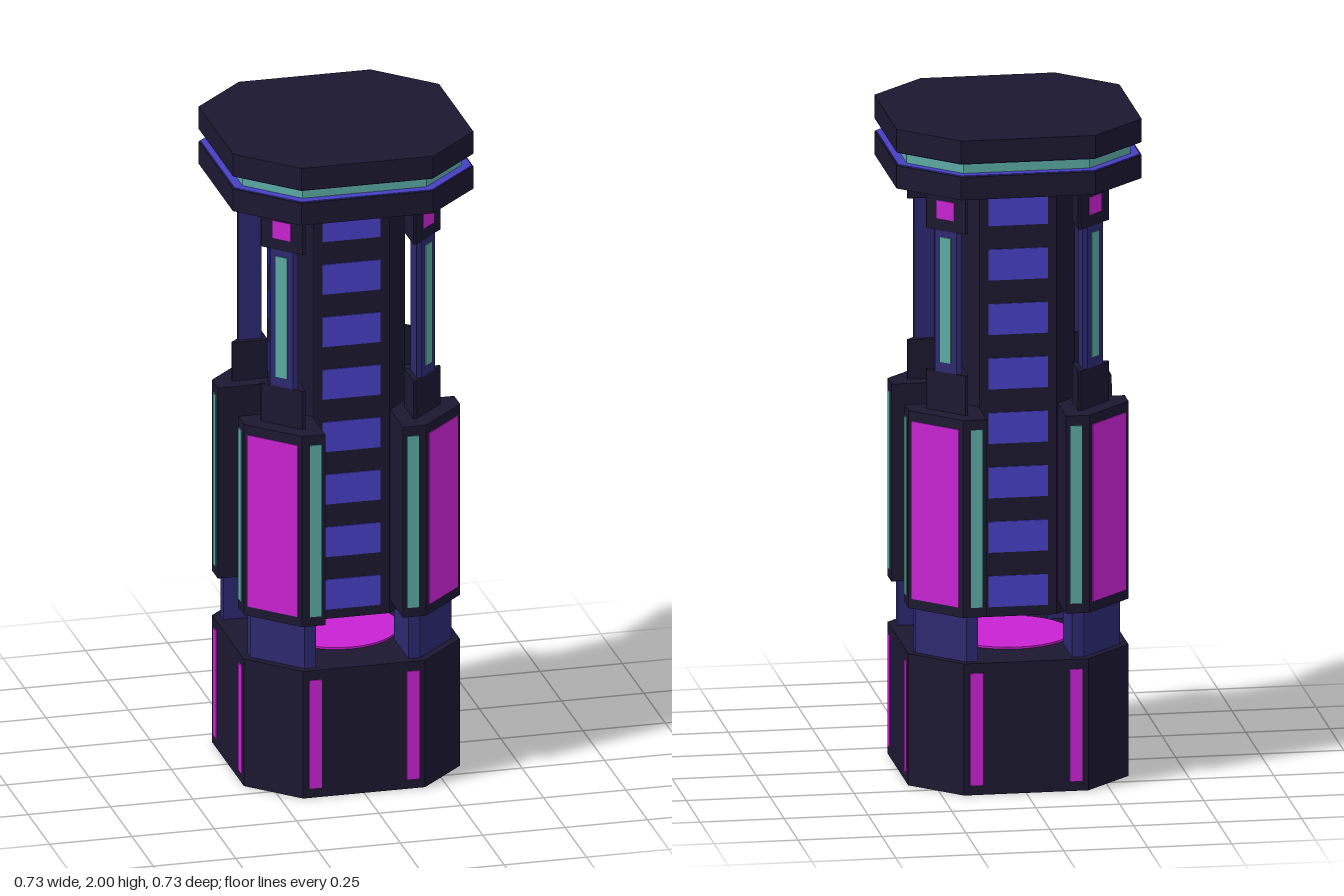
import * as THREE from 'three';

const mat = (color) => new THREE.MeshStandardMaterial({ color, flatShading: true });
const dark = mat(0x1b1730), indigo = mat(0x2c2870), blue = mat(0x463fc4);
const teal = mat(0x5aaaa2), magenta = mat(0xc822d2);

function add(parent, name, geometry, material) {
  const mesh = new THREE.Mesh(geometry, material);
  mesh.name = name;
  parent.add(mesh);
  return mesh;
}

// Upright prism from a plan outline, between heights y0 and y1
function prism(points, y0, y1) {
  const shape = new THREE.Shape(points.map(([x, z]) => new THREE.Vector2(x, z)));
  const geometry = new THREE.ExtrudeGeometry(shape, { depth: y1 - y0, bevelEnabled: false });
  return geometry.rotateX(-Math.PI / 2).translate(0, y0, 0);
}

// Square plan of half width h with cut corners; f is half of each flat side
const octagon = (h, f) => [[h, -f], [h, f], [f, h], [-f, h], [-h, f], [-h, -f], [-f, -h], [f, -h]];

// Square plan in one quadrant with its outer corner cut by c
const corner = (min, max, c) => [[min, min], [max, min], [max, max - c], [max - c, max], [min, max]];

// Thin panel on a face at distance d from the axis, shifted sideways by s
function panel(parent, name, material, d, s, width, y0, y1, angle) {
  const geometry = new THREE.BoxGeometry(width, y1 - y0, 0.012);
  geometry.translate(s, (y0 + y1) / 2, d - 0.003).rotateY(angle);
  return add(parent, name, geometry, material);
}

// Distance from the axis to the cut face of a corner prism
const cutFace = (max, c) => (2 * max - c) / Math.SQRT2;

export function createModel() {
  const model = new THREE.Group();
  model.name = 'column';

  // Base, with a glowing disc under the floating core
  add(model, 'base', prism(octagon(0.328, 0.185), 0, 0.4), dark);
  const disc = new THREE.CylinderGeometry(0.185, 0.185, 0.008, 32).translate(0, 0.402, 0);
  add(model, 'baseDisc', disc, magenta);

  // Central core
  add(model, 'core', prism(octagon(0.18, 0.115), 0.5, 1.83), dark);

  // Head: two slabs with a lit band between them
  add(model, 'lowerSlab', prism(octagon(0.365, 0.2), 1.82, 1.89), dark);
  add(model, 'upperSlab', prism(octagon(0.365, 0.2), 1.93, 2), dark);
  add(model, 'headBand', prism(octagon(0.333, 0.188), 1.88, 1.94), teal);
  add(model, 'lowerTrim', prism(octagon(0.36, 0.198), 1.885, 1.893), blue);
  add(model, 'upperTrim', prism(octagon(0.36, 0.198), 1.927, 1.935), blue);

  for (let i = 0; i < 4; i++) {
    const side = new THREE.Group();
    side.name = 'side';
    side.rotation.y = i * Math.PI / 2;
    model.add(side);

    // Ladder of lit panels on the core
    for (let k = 0; k < 8; k++) {
      const y = 0.53 + k * 0.1655;
      panel(side, 'corePanel', blue, 0.18, 0, 0.176, y, y + 0.094, 0);
    }
    // Strips on the base and the pylon flanks
    for (const s of [-1, 1]) {
      panel(side, 'baseStrip', magenta, 0.328, s * 0.148, 0.038, 0.03, 0.37, 0);
      panel(side, 'pylonStrip', teal, 0.328, s * 0.148, 0.034, 0.57, 1.11, 0);
    }

    // Corner pylon, stacked from foot to bracket
    const pylon = new THREE.Group();
    pylon.name = 'cornerPylon';
    side.add(pylon);
    add(pylon, 'pylonFoot', prism(corner(0.14, 0.305, 0.13), 0.4, 0.55), indigo);
    add(pylon, 'pylonBody', prism(corner(0.118, 0.328, 0.14), 0.54, 1.14), dark);
    add(pylon, 'collar', prism(corner(0.164, 0.272, 0.1), 1.14, 1.26), dark);
    add(pylon, 'post', prism(corner(0.18, 0.25, 0.055), 1.26, 1.69), indigo);
    add(pylon, 'bracket', prism(corner(0.164, 0.272, 0.1), 1.69, 1.82), dark);

    // Lit panels on the outward cut faces
    const diagonal = 3 * Math.PI / 4;
    panel(pylon, 'pylonPanel', magenta, cutFace(0.328, 0.14), 0, 0.17, 0.57, 1.11, diagonal);
    panel(pylon, 'postStrip', teal, cutFace(0.25, 0.055), 0, 0.038, 1.29, 1.67, diagonal);
    panel(pylon, 'bracketLight', magenta, cutFace(0.272, 0.1), 0, 0.062, 1.725, 1.78, diagonal);
  }
  return model;
}
